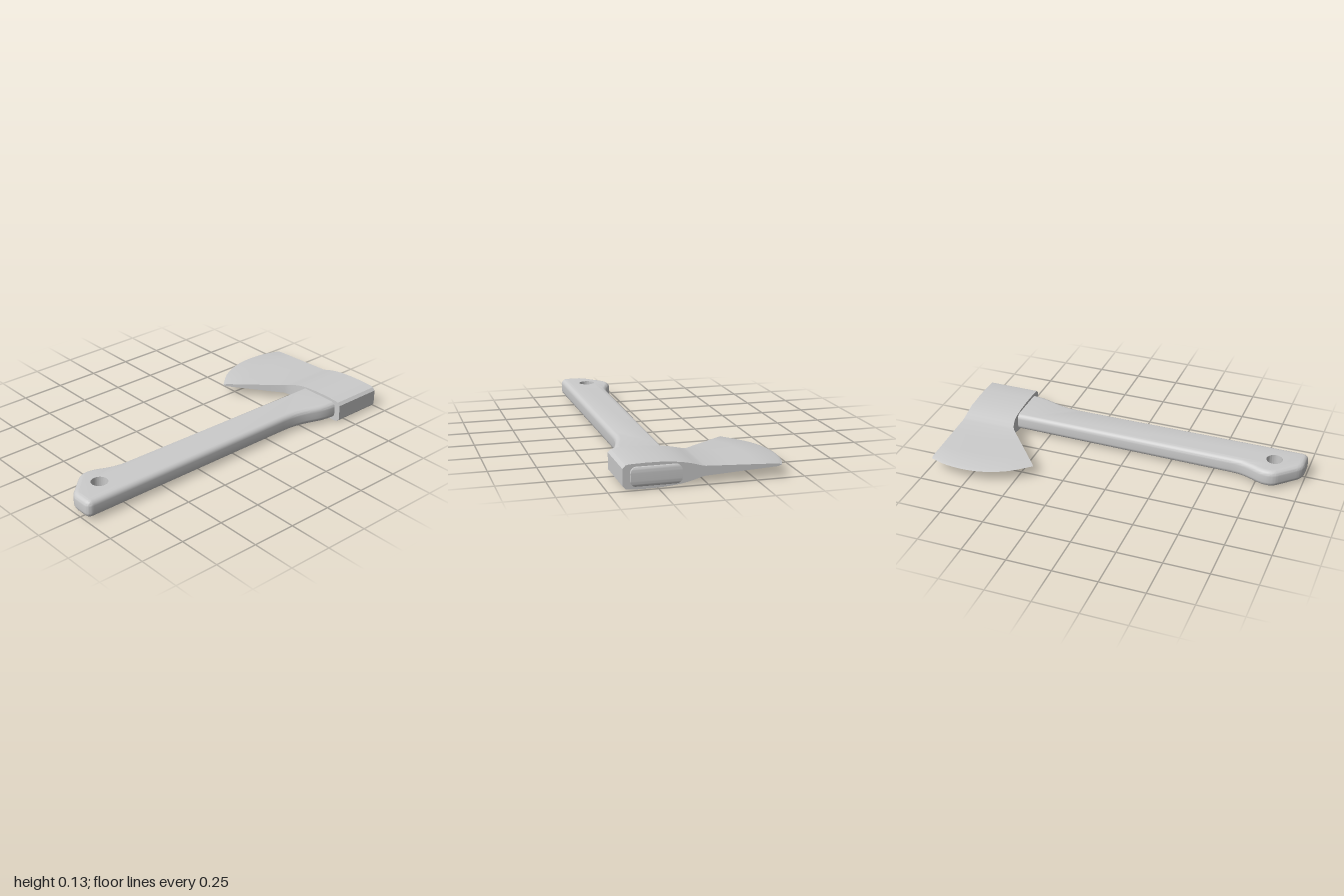
import * as THREE from 'three';
import { mergeGeometries, toCreasedNormals } from 'three/addons/utils/BufferGeometryUtils.js';

const MID = 0.065; // height of the centre plane

// Skin closed rings of points; rings run counter-clockwise seen from the far end
function loft(rings) {
  const pos = [];
  const put = (...pts) => pts.forEach((p) => pos.push(p.x, p.y, p.z));
  for (let i = 0; i < rings.length - 1; i++) {
    const a = rings[i], b = rings[i + 1];
    for (let j = 0; j < a.length; j++) {
      const k = (j + 1) % a.length;
      put(a[j], a[k], b[k]);
      put(a[j], b[k], b[j]);
    }
  }
  const g = new THREE.BufferGeometry();
  g.setAttribute('position', new THREE.Float32BufferAttribute(pos, 3));
  return g;
}

// Flat face with a hole; side is 1 for the top, -1 for the underside
function cap(outline, hole, y, side) {
  const flip = (p) => new THREE.Vector2(p.x, p.y * side);
  const shape = new THREE.Shape(outline.map(flip));
  shape.holes.push(new THREE.Path(hole.map(flip)));
  const g = new THREE.ShapeGeometry(shape).toNonIndexed();
  g.deleteAttribute('uv');
  g.deleteAttribute('normal');
  return g.rotateX(-side * Math.PI / 2).translate(0, y, 0);
}

// Move an outline inwards along its mitred normals
function inset(pts, d) {
  const n = pts.length;
  const normal = (a, b) => new THREE.Vector2(b.y - a.y, a.x - b.x).normalize();
  return pts.map((p, i) => {
    const n1 = normal(pts[(i + n - 1) % n], p), n2 = normal(p, pts[(i + 1) % n]);
    const m = n1.clone().add(n2).divideScalar(1 + n1.dot(n2));
    const endScale = p.y > 0.99 ? 0.3 : 1; // the head end is nearly square
    return new THREE.Vector2(p.x - m.x * d, p.y - m.y * d * endScale);
  });
}

function handleGeometry() {
  const half = 0.049, round = 0.03, steps = 6;
  // outline seen from above (shape y = -z)
  const s = new THREE.Shape();
  s.moveTo(0.13, 1);
  s.lineTo(0.128, 0.6);
  s.lineTo(0.11, -0.6);
  s.bezierCurveTo(0.11, -0.72, 0.055, -0.75, 0.055, -0.82);
  s.quadraticCurveTo(0.055, -0.86, 0.08, -0.885);
  s.lineTo(0.155, -0.965);
  s.quadraticCurveTo(0.185, -0.998, 0.22, -1);
  s.lineTo(0.285, -1);
  s.quadraticCurveTo(0.322, -1, 0.322, -0.96);
  s.lineTo(0.322, 0.35);
  s.bezierCurveTo(0.322, 0.53, 0.385, 0.56, 0.388, 0.69);
  s.lineTo(0.388, 1);
  const outline = s.getPoints(10);
  const hole = new THREE.Path().absarc(0.192, -0.832, 0.045, 0, Math.PI * 2).getPoints(32).slice(0, -1);

  // rounded sides: quarter round below, then above
  const at = (pts, y) => pts.map((p) => new THREE.Vector3(p.x, y, -p.y));
  const rings = [];
  for (const side of [-1, 1]) {
    for (let i = 0; i <= steps; i++) {
      const a = (side < 0 ? steps - i : i) / steps * Math.PI / 2;
      const y = MID + side * (half - round + round * Math.sin(a));
      rings.push(at(inset(outline, round * (1 - Math.cos(a))), y));
    }
  }
  const face = inset(outline, round);
  const bore = [...hole].reverse();
  return mergeGeometries([
    loft(rings),
    loft([at(bore, MID - half), at(bore, MID + half)]),
    cap(face, hole, MID + half, 1),
    cap(face, hole, MID - half, -1),
  ]);
}

function headGeometry() {
  const N = 28, back = -0.985;
  const edge = new THREE.CatmullRomCurve3([
    [-0.385, back], [-0.413, -0.9], [-0.425, -0.78], [-0.41, -0.66], [-0.358, -0.535], [-0.265, -0.42],
  ].map(([x, z]) => new THREE.Vector3(x, 0, z)));

  // one section: over the top from back to front, then back underneath
  const section = (pointAt, h) => {
    const top = [], under = [];
    for (let j = 0; j <= N; j++) {
      const p = pointAt(j / N);
      top.push(new THREE.Vector3(p.x, MID + h, p.z));
      under.unshift(new THREE.Vector3(p.x, MID - h, p.z));
    }
    return [...top, ...under];
  };
  const line = (x, front) => (t) => new THREE.Vector3(x, 0, THREE.MathUtils.lerp(back, front, t));

  // blade: cutting edge, bevel, then a straight taper to the neck
  const neck = line(0.01, -0.66);
  const rings = [[0, 0], [0.05, 0.007], [0.35, 0.0127], [0.7, 0.0193]].map(([s, h]) =>
    section((t) => edge.getPoint(t).lerp(neck(t), s), h));

  // neck, eye and poll: x, front z, half thickness
  [
    [0.01, -0.66, 0.025], [0.03, -0.672, 0.029], [0.06, -0.682, 0.038], [0.09, -0.688, 0.046],
    [0.13, -0.69, 0.054], [0.18, -0.69, 0.06], [0.24, -0.69, 0.064], [0.31, -0.69, 0.065],
    [0.39, -0.69, 0.063], [0.41, -0.69, 0.059], [0.425, -0.69, 0.043], [0.425, -0.69, 0],
  ].forEach(([x, front, h]) => rings.push(section(line(x, front), h)));
  return loft(rings);
}

export function createModel() {
  const group = new THREE.Group();
  group.name = 'hatchet';
  const material = new THREE.MeshStandardMaterial({ color: 0xcccccc });
  const add = (name, geometry) => {
    const mesh = new THREE.Mesh(toCreasedNormals(geometry, 0.5), material);
    mesh.name = name;
    group.add(mesh);
  };
  add('handle', handleGeometry());
  add('axeHead', headGeometry());
  return group;
}
